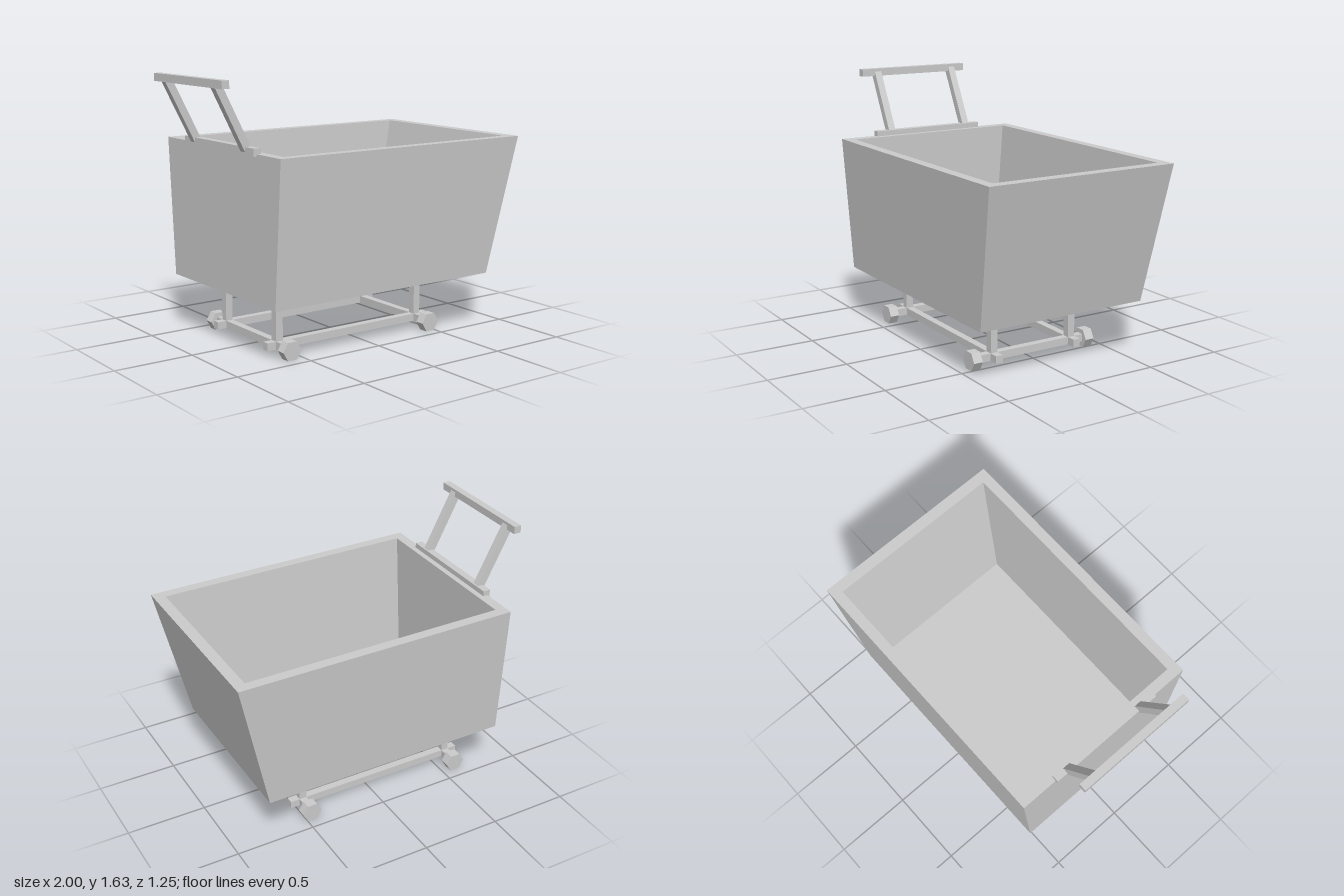
import * as THREE from 'three';

const material = new THREE.MeshStandardMaterial({ color: 0xcccccc, flatShading: true });
const BAR = 0.047; // thickness of every square bar

function add(parent, name, geometry, x = 0, y = 0, z = 0) {
  const mesh = new THREE.Mesh(geometry, material);
  mesh.name = name;
  mesh.position.set(x, y, z);
  parent.add(mesh);
  return mesh;
}

// Corners of a horizontal rectangle, in order around the basket
const ring = (x0, x1, z, y) => [[x0, y, z], [x1, y, z], [x1, y, -z], [x0, y, -z]];

// Open tapered tub: outer walls, rim, inner walls, closed by floor and underside
function basketGeometry() {
  const rings = [
    ring(-0.785, 0.81, 0.563, 0.35),
    ring(-0.785, 1.0, 0.625, 1.212),
    ring(-0.72, 0.93, 0.56, 1.212),
    ring(-0.72, 0.75, 0.5, 0.385),
  ];
  const positions = [];
  const quad = (a, b, c, d) => positions.push(...a, ...b, ...c, ...a, ...c, ...d);
  for (let r = 0; r < 3; r++) {
    for (let i = 0; i < 4; i++) {
      const j = (i + 1) % 4;
      quad(rings[r][i], rings[r][j], rings[r + 1][j], rings[r + 1][i]);
    }
  }
  quad(...rings[3]);
  quad(...[...rings[0]].reverse());
  const geometry = new THREE.BufferGeometry();
  geometry.setAttribute('position', new THREE.Float32BufferAttribute(positions, 3));
  geometry.computeVertexNormals();
  return geometry;
}

export function createModel() {
  const cart = new THREE.Group();
  cart.name = 'cart';
  add(cart, 'basket', basketGeometry());

  const sides = [['left', 0.272], ['right', -0.287]]; // z of the bars on each long side
  const axles = [['rear', -0.581], ['front', 0.467]];

  // Undercarriage: rails, axles, legs and six-sided wheels
  const base = new THREE.Group();
  base.name = 'undercarriage';
  cart.add(base);
  const barY = 0.059;
  for (const [, z] of sides) {
    add(base, 'rail', new THREE.BoxGeometry(1.215, BAR, BAR), -0.057, barY, z);
  }
  for (const [end, x] of axles) {
    add(base, end + 'Axle', new THREE.BoxGeometry(BAR, BAR, 0.768), x, barY, 0);
    for (const [, z] of sides) {
      add(base, end + 'Leg', new THREE.BoxGeometry(BAR, 0.325, BAR), x, 0.1975, z);
    }
    for (const s of [-1, 1]) {
      const wheel = new THREE.CylinderGeometry(0.063, 0.063, 0.06, 6);
      wheel.rotateY(Math.PI / 2).rotateX(Math.PI / 2);
      // Corners point fore and aft, flats face up and down
      wheel.rotateZ(0);
      add(base, end + 'Wheel', wheel, x - 0.002, 0.0546, s * 0.403);
    }
  }

  // Push handle: mounting bar, two leaning posts and grip
  const handle = new THREE.Group();
  handle.name = 'handle';
  cart.add(handle);
  add(handle, 'mountingBar', new THREE.BoxGeometry(BAR, BAR, 0.768), -0.779, 1.221, 0);
  add(handle, 'grip', new THREE.BoxGeometry(BAR, BAR, 0.768), -0.977, 1.605, 0);
  const dx = -0.198, dy = 0.384;
  for (const [side, z] of sides) {
    const post = new THREE.BoxGeometry(BAR, Math.hypot(dx, dy), BAR);
    const mesh = add(handle, side + 'Post', post, -0.878, 1.413, z);
    mesh.rotation.z = Math.atan2(-dx, dy);
  }
  return cart;
}
